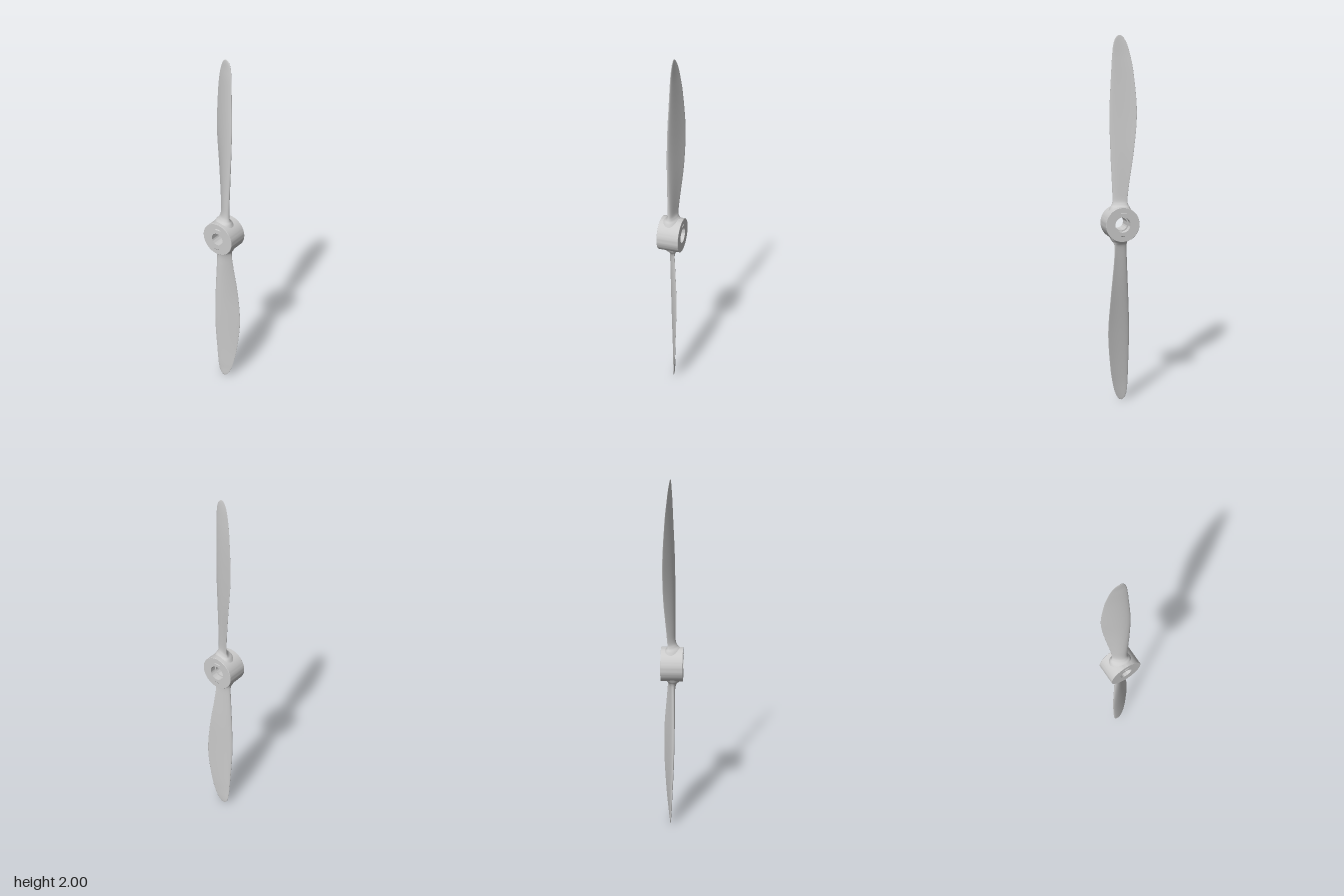
import * as THREE from 'three';
import { toCreasedNormals } from 'three/addons/utils/BufferGeometryUtils.js';

// Blade stations: radius, leading edge x z, trailing edge x z, thickness, roundness of section
const STATIONS = [
  [0.06, -0.028, 0.06, 0.028, -0.06, 0.125, 1],
  [0.088, -0.02, 0.05, 0.022, -0.05, 0.085, 0.8],
  [0.105, -0.013, 0.042, 0.022, -0.04, 0.05, 0.5],
  [0.135, -0.01, 0.039, 0.024, -0.036, 0.031, 0.1],
  [0.22, -0.011, 0.042, 0.031, -0.043, 0.028, 0],
  [0.4, -0.012, 0.05, 0.045, -0.065, 0.026, 0],
  [0.6, -0.009, 0.055, 0.047, -0.08, 0.022, 0],
  [0.8, -0.001, 0.048, 0.036, -0.065, 0.016, 0],
  [0.9, 0.003, 0.043, 0.026, -0.048, 0.012, 0],
  [0.95, 0.006, 0.038, 0.02, -0.034, 0.009, 0],
  [0.98, 0.008, 0.029, 0.015, -0.02, 0.007, 0],
  [0.995, 0.009, 0.017, 0.012, -0.007, 0.004, 0],
  [1, 0.01, 0.005, 0.01, 0.005, 0, 0],
];

// Smooth loft of teardrop sections along +y, with a flared root
function bladeGeometry() {
  const curve = (fn) => new THREE.CatmullRomCurve3(
    STATIONS.map((s) => new THREE.Vector3(...fn(s))), false, 'catmullrom', 0.5);
  const lead = curve((s) => [s[1], s[0], s[2]]);
  const trail = curve((s) => [s[3], s[0], s[4]]);
  const form = curve((s) => [s[5], s[0], s[6]]);
  const rows = 96, sides = 40, pos = [], index = [];
  for (let i = 0; i <= rows; i++) {
    const L = lead.getPoint(i / rows), T = trail.getPoint(i / rows), f = form.getPoint(i / rows);
    const dx = L.x - T.x, dz = L.z - T.z, chord = Math.hypot(dx, dz) || 1;
    const round = THREE.MathUtils.clamp(f.z, 0, 1);
    for (let j = 0; j < sides; j++) {
      const a = (j / sides) * Math.PI * 2, c = Math.cos(a), s = Math.sin(a);
      const taper = THREE.MathUtils.lerp(0.78 + 0.4 * c, 1, round);
      const camber = (1 - round) * 0.2 * s * s;
      const h = f.x * (0.5 * s * taper - camber);
      pos.push((L.x + T.x) / 2 + (dx * c) / 2 + (h * dz) / chord, L.y,
        (L.z + T.z) / 2 + (dz * c) / 2 - (h * dx) / chord);
    }
  }
  for (let i = 0; i < rows; i++) {
    for (let j = 0; j < sides; j++) {
      const k = (j + 1) % sides;
      const a = i * sides + j, b = i * sides + k, c = a + sides, d = b + sides;
      index.push(a, b, c, b, d, c);
    }
  }
  const g = new THREE.BufferGeometry();
  g.setAttribute('position', new THREE.Float32BufferAttribute(pos, 3));
  // Sections run from +z towards +x, so this order faces outward
  g.setIndex(index.map((v, n) => (n % 3 === 0 ? v : index[n % 3 === 1 ? n + 1 : n - 1])));
  // Keep outward winding regardless of section direction
  const p = g.attributes.position, tri = g.index.array, v = [0, 1, 2].map(() => new THREE.Vector3());
  let volume = 0;
  for (let n = 0; n < tri.length; n += 3) {
    v.forEach((q, m) => q.fromBufferAttribute(p, tri[n + m]));
    volume += v[0].dot(v[1].clone().cross(v[2]));
  }
  if (volume < 0) g.setIndex(index);
  g.computeVertexNormals();
  return g;
}

export function createModel() {
  const model = new THREE.Group();
  model.name = 'propeller';
  const material = new THREE.MeshStandardMaterial({ color: 0xcccccc });

  // Hub: a turned ring along x with a stepped bore, wider on the +x side
  const profile = [
    [0.035, -0.06], [0.092, -0.06], [0.0935, -0.0585], [0.0935, 0.0585], [0.092, 0.06],
    [0.042, 0.06], [0.042, 0.025], [0.035, 0.025], [0.035, -0.06],
  ].map(([r, y]) => new THREE.Vector2(r, y));
  const hub = new THREE.Mesh(toCreasedNormals(new THREE.LatheGeometry(profile, 72), 0.6), material);
  hub.name = 'hub';
  hub.rotation.z = -Math.PI / 2;
  hub.position.y = 1;
  model.add(hub);

  // Two blades, half a turn apart about the hub axis
  const geometry = bladeGeometry();
  ['upperBlade', 'lowerBlade'].forEach((name, i) => {
    const blade = new THREE.Mesh(geometry, material);
    blade.name = name;
    blade.rotation.x = i * Math.PI;
    blade.position.y = 1;
    model.add(blade);
  });
  return model;
}
